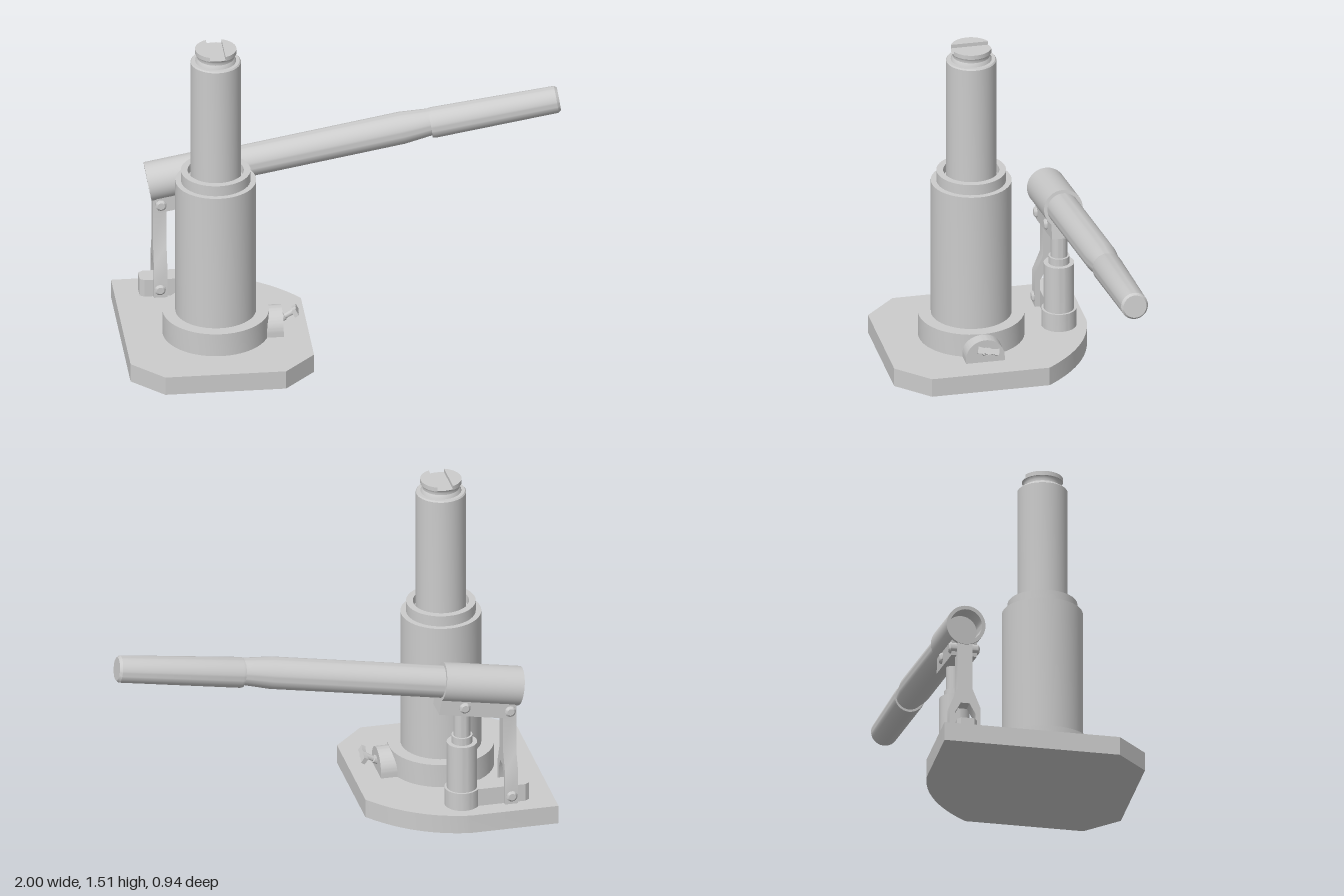
import * as THREE from 'three';
import { toCreasedNormals } from 'three/addons/utils/BufferGeometryUtils.js';

const mat = new THREE.MeshStandardMaterial({ color: 0xcccccc });
const V = (pts) => pts.map(([x, y]) => new THREE.Vector2(x, y));

export function createModel() {
  const root = new THREE.Group();

  function add(name, geo, x = 0, y = 0, z = 0, parent = root) {
    const m = new THREE.Mesh(toCreasedNormals(geo, 0.5), mat);
    m.name = name;
    m.position.set(x, y, z);
    parent.add(m);
    return m;
  }
  const lathe = (pts) => new THREE.LatheGeometry(V(pts), 48);
  // lathe lying along +x
  const latheX = (pts) => lathe(pts).rotateZ(-Math.PI / 2);
  const extrude = (shape, depth) =>
    new THREE.ExtrudeGeometry(shape, { depth, bevelEnabled: false, curveSegments: 20 });
  // shape drawn as (x, -z), raised along y
  const slab = (shape, h) => extrude(shape, h).rotateX(-Math.PI / 2);
  // shape drawn as (z, y), centred thickness along x
  const sideSlab = (shape, w) => extrude(shape, w).translate(0, 0, -w / 2).rotateY(-Math.PI / 2);

  const cx = -0.59, cz = 0.057, pz = -0.342, floor = 0.087;

  // base plate: three cut corners and one rounded corner
  const plate = new THREE.Shape();
  plate.moveTo(-1, 0.47);
  plate.lineTo(-1, -0.325);
  plate.lineTo(-0.86, -0.467);
  plate.lineTo(-0.32, -0.467);
  plate.lineTo(-0.18, -0.325);
  plate.lineTo(-0.18, 0.21);
  plate.quadraticCurveTo(-0.35, 0.435, -0.6, 0.47);
  add('basePlate', slab(plate, floor));

  // main cylinder, collar with recess, and ram
  add('cylinderFoot', lathe([[0, 0.08], [0.237, 0.08], [0.237, 0.197], [0, 0.197]]), cx, 0, cz);
  add('mainCylinder', lathe([[0, 0.19], [0.18, 0.19], [0.18, 0.85], [0.155, 0.85], [0.155, 0.9],
    [0.125, 0.9], [0.122, 0.865], [0, 0.865]]), cx, 0, cz);
  add('ram', lathe([[0, 0.8], [0.112, 0.8], [0.112, 1.447], [0.107, 1.453], [0, 1.453]]), cx, 0, cz);

  // flared saddle with a cross groove
  add('saddle', lathe([[0, 1.44], [0.094, 1.44], [0.09, 1.458], [0.083, 1.47], [0.083, 1.48],
    [0.087, 1.49], [0.091, 1.495], [0, 1.495]]), cx, 0, cz);
  for (const s of [0, Math.PI]) {
    const a = Math.acos(0.035 / 0.092);
    const wing = new THREE.Shape();
    wing.absarc(0, 0, 0.092, -a, a, false);
    add('saddlePad', slab(wing, 0.02).rotateY(s), cx, 1.492, cz);
  }

  // release valve: domed lug and butterfly key
  const lug = new THREE.Shape();
  lug.moveTo(-0.088, 0.08);
  lug.lineTo(0.088, 0.08);
  lug.lineTo(0.088, 0.107);
  lug.absarc(0, 0.107, 0.088, 0, Math.PI, false);
  add('valveLug', sideSlab(lug, 0.125), -0.358, 0, cz);
  const key = new THREE.Group();
  key.name = 'releaseKey';
  key.position.set(-0.3, 0.135, cz);
  key.rotation.z = 0.5;
  root.add(key);
  add('keyStem', latheX([[0, -0.02], [0.018, -0.02], [0.018, 0.02], [0.012, 0.022], [0.012, 0.07], [0, 0.07]]), 0, 0, 0, key);
  const bow = new THREE.Shape(V([[-0.048, -0.016], [-0.015, -0.011], [0, -0.017], [0.015, -0.011],
    [0.048, -0.016], [0.048, 0.016], [0.015, 0.011], [0, 0.016], [-0.015, 0.011], [-0.048, 0.016]]));
  add('keyWings', sideSlab(bow, 0.02), 0.074, 0, 0, key).rotation.x = -0.2;

  // pump barrel and piston
  add('pump', lathe([[0, 0.08], [0.078, 0.08], [0.078, 0.172], [0.068, 0.172], [0.068, 0.397],
    [0.047, 0.397], [0.047, 0.432], [0.038, 0.432], [0.038, 0.6], [0, 0.6]]), cx, 0, pz);

  // anchor arm from the pump foot to the link
  const arm = new THREE.Shape(V([[-0.87, -0.045], [-0.59, -0.045], [-0.59, 0.045], [-0.87, 0.045],
    [-0.89, 0.03], [-0.89, -0.03]]));
  add('anchorArm', slab(arm, 0.09), 0, 0.08, pz);

  // forked link
  const link = new THREE.Shape(V([[-0.07, 0.092], [-0.047, 0.092], [-0.047, 0.22], [-0.02, 0.27],
    [0.02, 0.27], [0.047, 0.22], [0.047, 0.092], [0.07, 0.092], [0.07, 0.25], [0.034, 0.34],
    [0.034, 0.57], [-0.034, 0.57], [-0.034, 0.34], [-0.07, 0.25]]));
  add('link', sideSlab(link, 0.06), -0.8, 0, pz);

  // pivot pins
  function pin(x, y, half) {
    const geo = lathe([[0, -half], [0.016, -half], [0.025, -half + 0.008], [0.025, half - 0.008],
      [0.016, half], [0, half]]).rotateX(Math.PI / 2);
    add('pivotPin', geo, x, y, pz);
  }
  pin(-0.802, 0.13, 0.08);
  pin(-0.797, 0.55, 0.07);
  pin(-0.59, 0.592, 0.07);

  // lever: socket, clevis block and tapered handle, local x along the tube
  const lever = new THREE.Group();
  lever.name = 'lever';
  lever.position.set(-0.851, 0.643, pz);
  lever.rotation.z = 0.178;
  root.add(lever);
  add('socket', latheX([[0.072, 0], [0.088, 0], [0.088, 0.36], [0.07, 0.36], [0.072, 0]]), 0, 0, 0, lever);
  add('clevisBlock', new THREE.BoxGeometry(0.34, 0.075, 0.114), 0.19, -0.1, 0, lever);
  add('handleTube', latheX([[0, 0.12], [0.0725, 0.12], [0.0725, 1.155], [0.062, 1.27], [0.06, 1.3], [0, 1.3]]), 0, 0, 0, lever);

  // grip, bent slightly from the tube
  const grip = add('grip', latheX([[0, 0], [0.066, 0], [0.069, 0.012], [0.061, 0.57], [0.052, 0.582], [0, 0.582]]), 0.412, 0.864, pz);
  grip.rotation.z = 0.152;

  return root;
}
